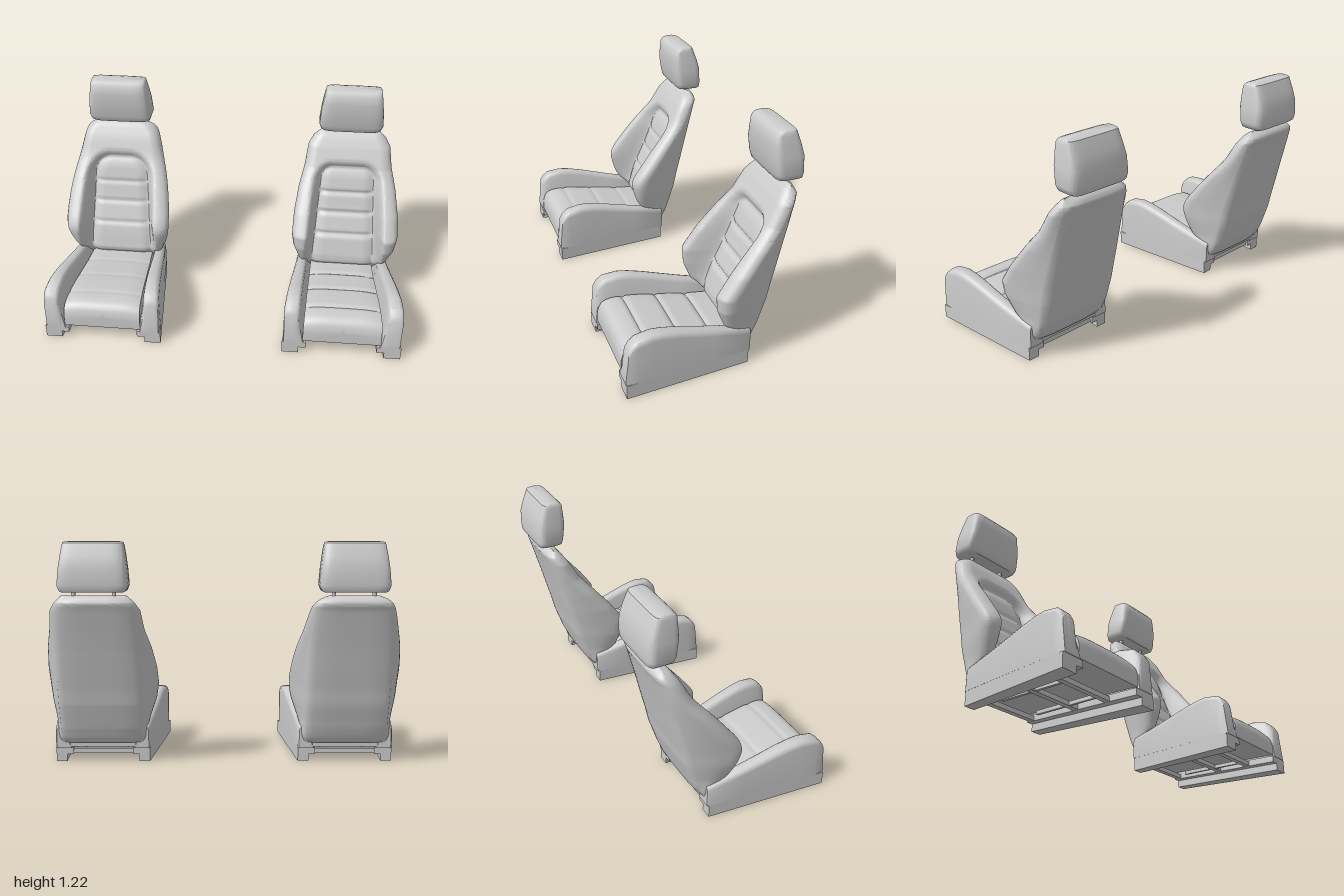
import * as THREE from 'three';
import { toCreasedNormals } from 'three/addons/utils/BufferGeometryUtils.js';

const mat = new THREE.MeshStandardMaterial({ color: 0xcccccc });

function mesh(geo, name, parent) {
  const m = new THREE.Mesh(geo, mat);
  m.name = name;
  parent.add(m);
  return m;
}

// Skin a list of closed cross-sections, cap both ends, face outwards
function loft(rows, crease = 0.7) {
  const n = rows[0].length, pos = rows.flat(2), idx = [];
  for (let i = 0; i < rows.length - 1; i++)
    for (let j = 0; j < n; j++) {
      const a = i * n + j, b = i * n + (j + 1) % n;
      idx.push(a, b, a + n, b, b + n, a + n);
    }
  for (const r of [0, rows.length - 1]) {
    const c = pos.length / 3;
    for (let k = 0; k < 3; k++) pos.push(rows[r].reduce((s, p) => s + p[k], 0) / n);
    for (let j = 0; j < n; j++) {
      const a = r * n + j, b = r * n + (j + 1) % n;
      if (r === 0) idx.push(c, b, a); else idx.push(c, a, b);
    }
  }
  let volume = 0;
  const v = i => new THREE.Vector3().fromArray(pos, i * 3);
  for (let i = 0; i < idx.length; i += 3) volume += v(idx[i]).dot(v(idx[i + 1]).cross(v(idx[i + 2])));
  if (volume < 0) idx.reverse();
  const g = new THREE.BufferGeometry();
  g.setAttribute('position', new THREE.Float32BufferAttribute(pos, 3));
  g.setIndex(idx);
  return toCreasedNormals(g, crease);
}

// Read column k of a table keyed by its first column, straight or smooth
function sample(table, t, k, smooth) {
  let i = 0;
  while (i < table.length - 2 && t > table[i + 1][0]) i++;
  const slope = a => {
    const p = table[Math.max(a - 1, 0)], q = table[Math.min(a + 1, table.length - 1)];
    return (q[k] - p[k]) / (q[0] - p[0]);
  };
  const A = table[i], B = table[i + 1], h = B[0] - A[0], s = (t - A[0]) / h;
  if (!smooth) return A[k] + (B[k] - A[k]) * s;
  const s2 = s * s, s3 = s2 * s;
  return A[k] * (2 * s3 - 3 * s2 + 1) + B[k] * (3 * s2 - 2 * s3)
    + h * (slope(i) * (s3 - 2 * s2 + s) + slope(i + 1) * (s3 - s2));
}

const groove = (d, w) => Math.exp(-((d / w) ** 2));

// Backrest: y, half width, bolster front z, panel z, back z, back half width
const BACK = [
  [0.11, 0.215, -0.19, -0.19, -0.215, 0.205], [0.14, 0.235, -0.15, -0.16, -0.235, 0.215],
  [0.2, 0.248, -0.09, -0.115, -0.26, 0.22], [0.24, 0.26, -0.05, -0.12, -0.273, 0.22],
  [0.34, 0.293, -0.018, -0.15, -0.305, 0.22], [0.42, 0.305, -0.015, -0.185, -0.322, 0.22],
  [0.53, 0.30, -0.09, -0.23, -0.35, 0.217], [0.65, 0.28, -0.185, -0.27, -0.38, 0.212],
  [0.75, 0.252, -0.268, -0.305, -0.407, 0.206], [0.86, 0.222, -0.328, -0.345, -0.438, 0.195],
  [0.9, 0.2, -0.355, -0.36, -0.452, 0.18], [0.925, 0.165, -0.375, -0.378, -0.44, 0.15],
  [0.94, 0.12, -0.4, -0.4, -0.42, 0.12],
];
const SQUARE_SHOULDER = { 0.86: 0.236, 0.9: 0.21, 0.925: 0.185, 0.94: 0.168 };

function backrest(smooth) {
  const table = smooth ? BACK : BACK.map(r => [r[0], SQUARE_SHOULDER[r[0]] ?? r[1], ...r.slice(2)]);
  const rows = [], ny = 100, nf = 64, depth = smooth ? 0.008 : 0.013;
  for (let i = 0; i <= ny; i++) {
    const y = 0.11 + 0.83 * i / ny;
    const [W, zf, zc, zb, wb] = [1, 2, 3, 4, 5].map(k => sample(table, y, k, smooth));
    const round = Math.min(0.055, 0.45 * (zf - zb)), loop = [];
    const panel = Math.min(0.178 - 0.06 * Math.max(0, y - 0.25), 0.75 * W);
    // Front: recessed, quilted panel between raised bolsters
    for (let j = 0; j <= nf; j++) {
      const u = j / nf * 2 - 1, a = Math.abs(u);
      const ax = a < 0.5 ? a * 2 * panel : panel + (W - panel) * (a * 2 - 1);
      const r = smooth ? 0.09 : 0.06;
      const qx = ax - panel + r, qy = Math.abs(y - 0.43) - 0.315 + r;
      const d = Math.hypot(Math.max(qx, 0), Math.max(qy, 0)) + Math.min(Math.max(qx, qy), 0) - r;
      let z = zc + (zf - zc) * THREE.MathUtils.smoothstep(d, -0.005, 0.06);
      z -= 0.006 * groove(d, 0.014);
      if (d < 0) {
        z += 0.01 * Math.min(1, -d / 0.05);
        for (const g of [0.37, 0.49, 0.605]) z -= depth * groove(y - g, 0.012) * Math.min(1, -d / 0.02);
      }
      const q = Math.max(0, (ax / W - 0.75) / 0.25);
      loop.push([Math.sign(u) * ax, y, z - round * (1 - Math.sqrt(1 - Math.min(1, q * q)))]);
    }
    // Flank, back panel, other flank
    const flank = s => {
      const side = [];
      for (let j = 1; j < 8; j++) {
        const t = j / 8, b = Math.sin(t * Math.PI) * 0.01;
        side.push([s * (W + (wb - W) * t + b), y, (zf - round) * (1 - t) + (zb + 0.015) * t]);
      }
      return side;
    };
    loop.push(...flank(1));
    for (let j = 0; j <= 14; j++) {
      const u = 1 - j / 7;
      loop.push([u * wb, y, zb + 0.015 * u ** 4]);
    }
    loop.push(...flank(-1).reverse());
    rows.push(loop);
  }
  return loft(rows, 1);
}

// Headrest: y, half width, front z, back z
function headrest() {
  const table = [
    [0.96, 0.162, -0.343, -0.478], [0.966, 0.172, -0.338, -0.482], [0.995, 0.183, -0.331, -0.483],
    [1.08, 0.175, -0.315, -0.483], [1.14, 0.167, -0.317, -0.465], [1.19, 0.159, -0.32, -0.446],
    [1.209, 0.155, -0.336, -0.438], [1.216, 0.147, -0.36, -0.415],
  ];
  return loft(table.map(([y, w, f, b]) => Array.from({ length: 48 }, (_, j) => {
    const a = j / 48 * Math.PI * 2, c = Math.cos(a), s = Math.sin(a);
    return [w * Math.sign(c) * Math.abs(c) ** 0.34, y,
      (f + b) / 2 + (f - b) / 2 * Math.sign(s) * Math.abs(s) ** 0.34];
  })), 0.8);
}

// Centre cushion: z, top height
function cushion(smooth) {
  const table = [[-0.2, 0.17], [0, 0.19], [0.16, 0.215], [0.3, 0.233], [0.38, 0.235],
    [0.43, 0.226], [0.46, 0.2], [0.473, 0.16]];
  const rows = [], n = 20;
  for (let i = 0; i <= 67; i++) {
    const z = -0.2 + 0.673 * i / 67, w = 0.18 + 0.035 * (z + 0.2) / 0.67;
    let top = sample(table, z, 1, true);
    for (const g of [-0.01, 0.16, 0.34]) top -= (smooth ? 0.005 : 0.01) * groove(z - g, 0.012);
    const loop = [[w, 0.085, z], [-w, 0.085, z]];
    for (let j = 0; j <= n; j++) {
      const u = j / n * 2 - 1;
      loop.push([u * w, top - 0.014 * u ** 4, z]);
    }
    rows.push(loop);
  }
  return loft(rows, 0.8);
}

// Cushion bolster, narrowing to the rear: z, top height, inset of the rounded nose
function bolster(side) {
  const table = [[-0.2, 0.2, 0.006], [-0.19, 0.206, 0], [0, 0.25, 0], [0.2, 0.303, 0], [0.28, 0.32, 0],
    [0.34, 0.326, 0], [0.42, 0.312, 0], [0.45, 0.287, 0.002], [0.467, 0.262, 0.006], [0.482, 0.1, 0.01]];
  return loft(table.map(([z, top, e]) => {
    const t = (z + 0.2) / 0.68;
    const xo = 0.26 + 0.069 * t - e, xi = 0.203 + 0.04 * t + e, xb = 0.17 + 0.034 * t + e;
    const h = top - 0.076, r = Math.min(0.03, h * 0.4);
    return [[xb, 0.076], [(xb + xi) / 2 + 0.004, 0.076 + h * 0.5], [xi - 0.003, top - r * 0.8], [xi + 0.003, top - r * 0.25],
      [xi + 0.014, top], [xo - 0.025, top], [xo - 0.01, top - r * 0.2], [xo - 0.002, top - r * 0.6], [xo, top - r],
      [xo, 0.076]].map(([x, y]) => [side * x, y, z]);
  }), 0.7);
}

// Length of rail that follows the taper of the cushion
function rail(side, front, back, y0, y1) {
  return loft([[-0.19, 0.26, back], [0.48, 0.329, front]].map(([z, xo, xi]) =>
    [[xo, y0], [xi, y0], [xi, y1], [xo, y1]].map(([x, y]) => [side * x, y, z])));
}

function bar(name, parent, w, h, d, x, y, z) {
  mesh(new THREE.BoxGeometry(w, h, d), name, parent).position.set(x, y, z);
}

function seat(name, smooth) {
  const g = new THREE.Group();
  g.name = name;
  mesh(backrest(smooth), 'backrest', g);
  mesh(headrest(), 'headrest', g);
  mesh(cushion(smooth), 'seatCushion', g);
  for (const s of [-1, 1]) {
    mesh(bolster(s), 'cushionBolster', g);
    const post = mesh(new THREE.CylinderGeometry(0.011, 0.011, 0.07, 12), 'headrestPost', g);
    post.position.set(s * 0.105, 0.95, -0.405);
    // Stepped floor rail
    mesh(rail(s, 0.237, 0.2, 0, 0.04), 'railFoot', g);
    mesh(rail(s, 0.195, 0.165, 0.04, 0.076), 'railTop', g);
    bar('underframeBar', g, 0.015, 0.02, 0.4, s * 0.12, 0.053, 0.12);
  }
  // Members joining the rails
  for (const z of [-0.16, 0.12, 0.31]) bar('crossMember', g, 0.38, 0.025, 0.03, 0, 0.053, z);
  return g;
}

export function createModel() {
  const model = new THREE.Group();
  model.name = 'seatPair';
  const right = seat('rightSeat', true), left = seat('leftSeat', false);
  right.position.x = -0.671;
  left.position.x = 0.671;
  model.add(right, left);
  return model;
}
